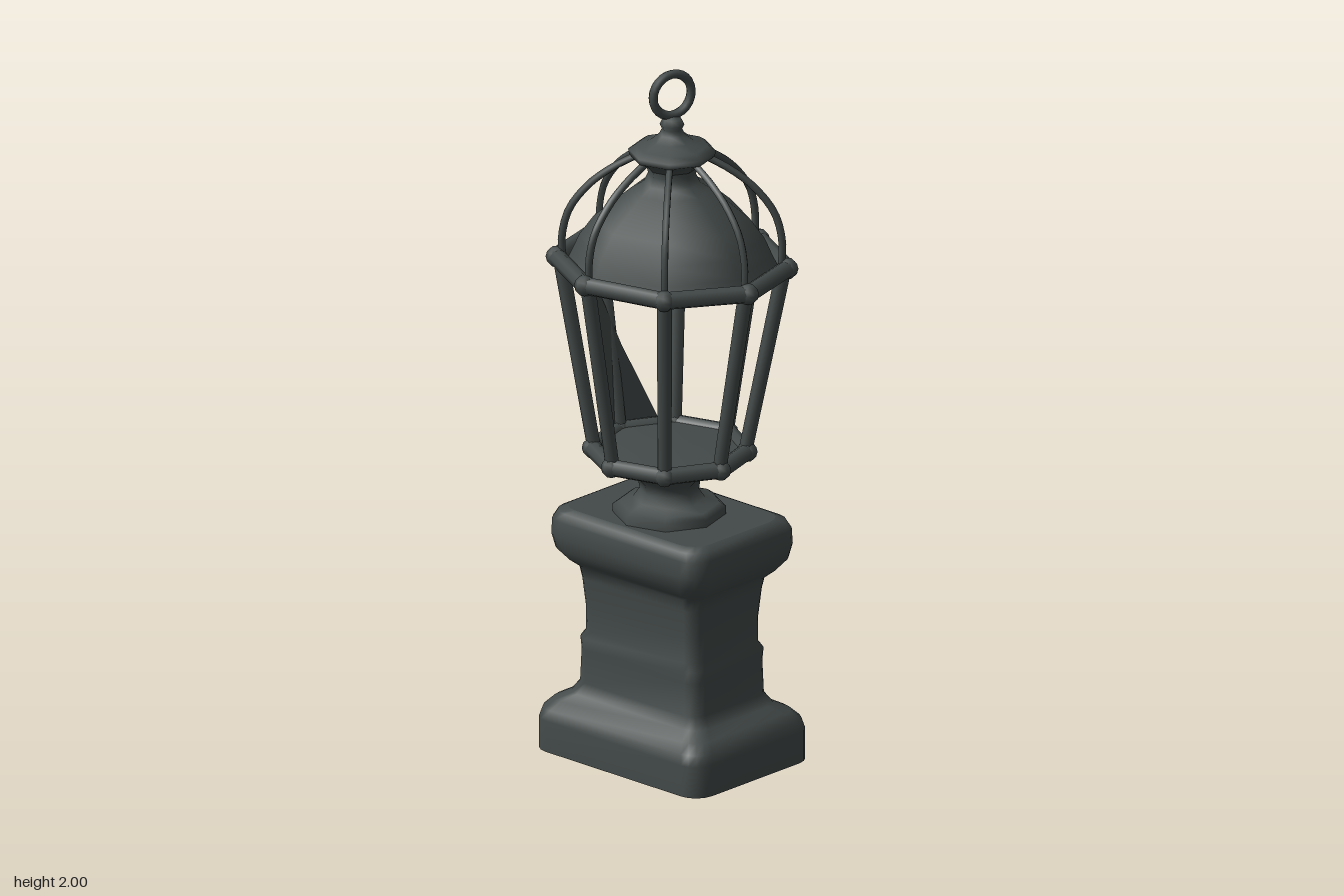
import * as THREE from 'three';

const iron = new THREE.MeshStandardMaterial({ color: 0x434a49, side: THREE.DoubleSide });
iron.name = 'dark iron';

const V = (x, y, z) => new THREE.Vector3(x, y, z);
const UP = V(0, 1, 0);
const SIDES = 8;
const angle = (k) => THREE.MathUtils.degToRad(30 + 45 * k);

// Corner points of the lantern's two octagonal rims
const topCorner = (k, r = 0.318) => {
  const x = Math.cos(angle(k)) * r;
  return V(x, 1.437 - 0.035 * x, Math.sin(angle(k)) * r);
};
const lowCorner = (k, r = 0.213) =>
  V(Math.cos(angle(k)) * r - 0.012, 0.893, Math.sin(angle(k)) * r + 0.01);

function add(parent, name, geometry) {
  const mesh = new THREE.Mesh(geometry, iron);
  mesh.name = name;
  parent.add(mesh);
  return mesh;
}

// Round rod between two points
function rod(parent, name, a, b, r0, r1 = r0, sides = 8) {
  const mesh = add(parent, name, new THREE.CylinderGeometry(r1, r0, a.distanceTo(b), sides));
  mesh.position.copy(a).lerp(b, 0.5);
  mesh.quaternion.setFromUnitVectors(UP, b.clone().sub(a).normalize());
  return mesh;
}

// Eight-sided turned shape whose corners line up with the rims
function turned(parent, name, profile) {
  const pts = profile.map(([r, y]) => new THREE.Vector2(r, y));
  return add(parent, name, new THREE.LatheGeometry(pts, SIDES, Math.PI / 12));
}

// Stack of rounded rectangles: rows are [y, halfWidth, halfDepth, cornerRadius]
function stackedRectangles(rows) {
  const pos = [], idx = [], steps = 4, n = 4 * (steps + 1);
  const ring = ([y, w, d, c]) => {
    for (let q = 0; q < 4; q++) {
      const sx = q === 0 || q === 3 ? 1 : -1, sz = q < 2 ? 1 : -1;
      for (let i = 0; i <= steps; i++) {
        const a = (q + i / steps) * Math.PI / 2;
        pos.push(sx * (w - c) + Math.cos(a) * c, y, sz * (d - c) + Math.sin(a) * c);
      }
    }
  };
  rows.forEach(ring);
  for (let j = 0; j < rows.length - 1; j++) {
    for (let i = 0; i < n; i++) {
      const a = j * n + i, b = j * n + (i + 1) % n;
      idx.push(a, a + n, b, b, a + n, b + n);
    }
  }
  // End caps with their own vertices keep the rims crisp
  [rows[0], rows[rows.length - 1]].forEach((row, end) => {
    const start = pos.length / 3;
    ring(row);
    for (let i = 1; i < n - 1; i++) {
      if (end) idx.push(start, start + i + 1, start + i);
      else idx.push(start, start + i, start + i + 1);
    }
  });
  const g = new THREE.BufferGeometry();
  g.setAttribute('position', new THREE.Float32BufferAttribute(pos, 3));
  g.setIndex(idx);
  g.computeVertexNormals();
  return g;
}

// Octagonal rim of rods with a knob on each corner
function rim(parent, name, corner, radius, knob) {
  const group = new THREE.Group();
  group.name = name;
  parent.add(group);
  for (let k = 0; k < SIDES; k++) {
    rod(group, name + 'Rail', corner(k), corner(k + 1), radius);
    const ball = add(group, name + 'Knob', new THREE.SphereGeometry(knob, 8, 6));
    ball.position.copy(corner(k));
    ball.rotation.y = -angle(k);
  }
}

export function createModel() {
  const model = new THREE.Group();
  model.name = 'lanternOnPedestal';

  // Worn stone-like pedestal, turned off the lantern's axes
  const pedestal = add(model, 'pedestal', stackedRectangles([
    [0, 0.235, 0.315, 0.06], [0.09, 0.235, 0.315, 0.06], [0.12, 0.228, 0.307, 0.06],
    [0.145, 0.205, 0.285, 0.055], [0.165, 0.17, 0.25, 0.05], [0.195, 0.15, 0.228, 0.04],
    [0.29, 0.148, 0.224, 0.04], [0.325, 0.151, 0.226, 0.04], [0.345, 0.14, 0.215, 0.04],
    [0.42, 0.14, 0.216, 0.04], [0.5, 0.148, 0.222, 0.04], [0.535, 0.155, 0.23, 0.045],
    [0.555, 0.178, 0.252, 0.05], [0.59, 0.206, 0.28, 0.06], [0.63, 0.214, 0.288, 0.06],
    [0.675, 0.212, 0.286, 0.06], [0.698, 0.202, 0.275, 0.06], [0.708, 0.18, 0.255, 0.06],
  ]));
  pedestal.rotation.y = THREE.MathUtils.degToRad(20.7);

  // Waisted neck that spreads into the lantern floor
  const neck = turned(model, 'neckAndFloor', [
    [0.155, 0.69], [0.157, 0.73], [0.14, 0.742], [0.1, 0.755], [0.082, 0.78], [0.086, 0.805],
    [0.11, 0.83], [0.13, 0.85], [0.19, 0.865], [0.213, 0.885], [0.2, 0.903], [0, 0.907],
  ]);
  neck.position.set(-0.012, 0, 0.007);

  // Rims and upright bars of the cage
  rim(model, 'lowerRim', lowCorner, 0.024, 0.029);
  rim(model, 'upperRim', topCorner, 0.025, 0.03);
  for (let k = 0; k < SIDES; k++) {
    rod(model, 'uprightBar', lowCorner(k, 0.208), topCorner(k, 0.308), 0.019, 0.021, 6);
  }

  // Broken pane left standing at the back
  const shard = new THREE.BufferGeometry().setFromPoints([
    V(-0.13, 0.89, -0.175), V(-0.155, 1.42, -0.25), V(-0.045, 1.13, -0.225),
    V(-0.13, 0.89, -0.175), V(-0.045, 1.13, -0.225), V(0.065, 0.89, -0.205),
  ]);
  shard.computeVertexNormals();
  add(model, 'brokenPane', shard);

  // Domed roof, its neck and the cap above
  turned(model, 'roofDome', [
    [0.292, 1.435], [0.277, 1.465], [0.255, 1.515], [0.215, 1.57], [0.155, 1.62],
    [0.112, 1.655], [0.078, 1.675], [0.066, 1.7], [0.072, 1.725],
  ]);
  turned(model, 'roofCap', [
    [0.068, 1.715], [0.085, 1.735], [0.118, 1.752], [0.121, 1.768], [0.1, 1.782],
    [0.06, 1.797], [0.036, 1.815], [0.028, 1.83], [0.034, 1.843], [0.026, 1.86], [0, 1.868],
  ]);

  // Curved ribs arching from the upper rim to the cap
  const ribProfile = [[0.302, 1.44], [0.303, 1.51], [0.282, 1.59], [0.225, 1.665], [0.16, 1.715], [0.1, 1.748]];
  for (let k = 0; k < SIDES; k++) {
    const c = Math.cos(angle(k)), s = Math.sin(angle(k));
    const curve = new THREE.CatmullRomCurve3(ribProfile.map(([r, y]) => V(c * r, y, s * r)));
    add(model, 'roofRib', new THREE.TubeGeometry(curve, 14, 0.0105, 6));
  }

  // Carrying ring
  const ring = add(model, 'carryingRing', new THREE.TorusGeometry(0.06, 0.013, 8, 24));
  ring.position.set(0.003, 1.927, -0.005);
  ring.rotation.y = 0.06;

  return model;
}
